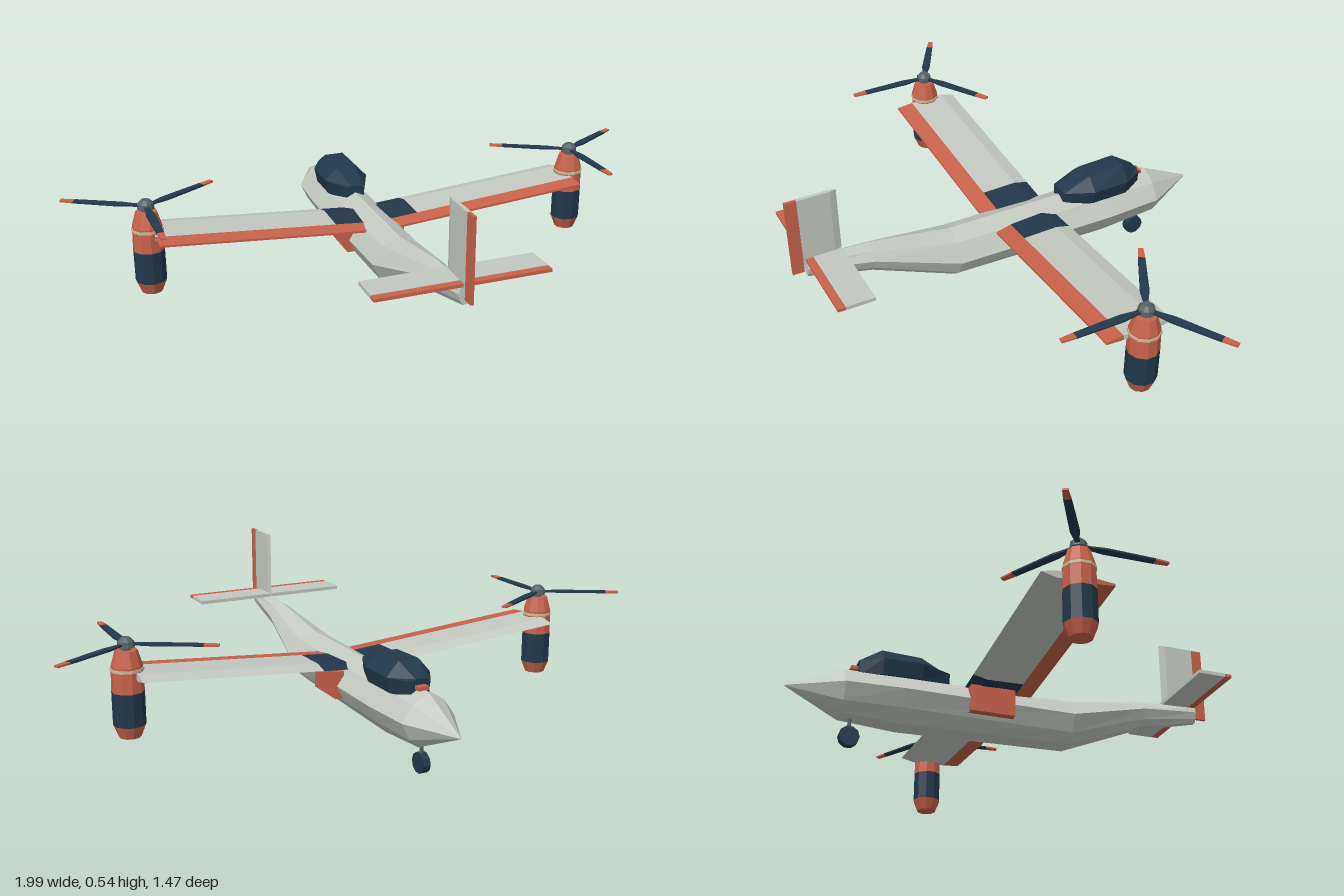
import * as THREE from 'three';

const mat = (name, color) => {
  const m = new THREE.MeshStandardMaterial({ color, flatShading: true });
  m.name = name;
  return m;
};

// Closed faceted skin through cross-sections of equal point count
function loft(rings) {
  const tris = [];
  const n = rings[0].length;
  for (let i = 0; i + 1 < rings.length; i++) {
    for (let j = 0; j < n; j++) {
      const k = (j + 1) % n;
      const a = rings[i][j], b = rings[i][k], c = rings[i + 1][k], d = rings[i + 1][j];
      tris.push([a, b, c], [a, c, d]);
    }
  }
  const first = rings[0], last = rings[rings.length - 1];
  for (let j = 1; j + 1 < n; j++) {
    tris.push([first[0], first[j + 1], first[j]], [last[0], last[j], last[j + 1]]);
  }
  // Turn the faces outward if the enclosed volume is negative
  const v = (p) => new THREE.Vector3(...p);
  let volume = 0;
  for (const [a, b, c] of tris) volume += v(a).dot(v(b).cross(v(c)));
  const pos = tris.flatMap(([a, b, c]) => (volume < 0 ? [a, c, b] : [a, b, c]).flat());
  const g = new THREE.BufferGeometry();
  g.setAttribute('position', new THREE.Float32BufferAttribute(pos, 3));
  g.computeVertexNormals();
  return g;
}

export function createModel() {
  const model = new THREE.Group();
  model.name = 'tiltrotorAircraft';
  const grey = mat('light grey', 0xc3c9c1);
  const red = mat('brick red', 0xc8624a);
  const navy = mat('dark navy', 0x22384a);
  const metal = mat('hub grey', 0x566266);
  const cream = mat('cream', 0xcdbd98);

  const add = (parent, name, geometry, material, x = 0, y = 0, z = 0) => {
    const m = new THREE.Mesh(geometry, material);
    m.name = name;
    m.position.set(x, y, z);
    parent.add(m);
    return m;
  };
  const box = (w, h, d) => new THREE.BoxGeometry(w, h, d);

  // Fuselage: half width, then heights of top, shoulder, waist, chine, belly
  const hull = ([z, w, top, shoulder, waist, chine, belly]) => {
    const half = [[0.6 * w, shoulder], [w, waist], [0.72 * w, chine], [0.36 * w, belly]];
    return [[0, top, z], ...half.map(([x, y]) => [x, y, z]),
      ...half.reverse().map(([x, y]) => [-x, y, z])];
  };
  add(model, 'fuselage', loft([
    [-0.735, 0.002, 0.179, 0.178, 0.177, 0.176, 0.175],
    [-0.56, 0.09, 0.262, 0.232, 0.18, 0.126, 0.098],
    [-0.37, 0.1, 0.265, 0.234, 0.18, 0.126, 0.085],
    [0.2, 0.093, 0.265, 0.24, 0.181, 0.126, 0.097],
    [0.48, 0.048, 0.308, 0.288, 0.262, 0.228, 0.208],
    [0.69, 0.022, 0.318, 0.31, 0.29, 0.268, 0.255],
  ].map(hull)), grey);

  // Canopy
  const hood = ([z, w, top]) => {
    const half = [[0.45 * w, top], [w, 0.285], [0.85 * w, 0.235]];
    return [...half.map(([x, y]) => [x, y, z]),
      ...half.reverse().map(([x, y]) => [-x, y, z])];
  };
  add(model, 'canopy', loft([
    [-0.51, 0.036, 0.291], [-0.44, 0.075, 0.332],
    [-0.31, 0.077, 0.326], [-0.212, 0.034, 0.287],
  ].map(hood)), navy);
  add(model, 'canopyLatch', box(0.036, 0.012, 0.03), red, 0, 0.266, -0.518);

  // Nose gear
  add(model, 'noseStrut', new THREE.CylinderGeometry(0.006, 0.006, 0.09, 6), metal, 0, 0.08, -0.525);
  const wheel = add(model, 'noseWheel', new THREE.CylinderGeometry(0.033, 0.033, 0.026, 10), navy, 0, 0.033, -0.525);
  wheel.rotation.z = Math.PI / 2;

  // Wing sections as [z, height above the chord line]
  const mainSection = [[-0.168, 0], [-0.12, 0.012], [0, 0.009], [0, -0.008], [-0.12, -0.011]];
  const flapSection = [[0, 0.009], [0.057, 0.003], [0.057, -0.004], [0, -0.008]];
  const span = (section, side, x0, x1) => loft([x0, x1].map((x) =>
    section.map(([z, y]) => [side * x, 0.229 + 0.079 * x + y, z])));

  // Rotor blade sections as [radius, half width]
  const blade = (stations) => loft(stations.map(([r, w]) =>
    [[r, 0.003, -w], [r, 0.003, w], [r, -0.003, w], [r, -0.003, -w]]));
  const bladeGeo = blade([[0.01, 0.007], [0.04, 0.008], [0.08, 0.014], [0.235, 0.011]]);
  const tipGeo = blade([[0.235, 0.011], [0.28, 0.008]]);

  // Nacelle bands as [name, bottom y, top y, bottom radius, top radius, material]
  const bands = [
    ['nacelleTail', 0.09, 0.13, 0.034, 0.05, red],
    ['nacelleBand', 0.13, 0.235, 0.05, 0.05, navy],
    ['nacelleBody', 0.235, 0.315, 0.05, 0.048, red],
    ['nacelleRing', 0.3, 0.309, 0.051, 0.051, cream],
    ['nacelleCowl', 0.315, 0.363, 0.048, 0.034, red],
    ['rotorMast', 0.36, 0.375, 0.014, 0.014, metal],
    ['rotorHub', 0.372, 0.39, 0.027, 0.025, metal],
    ['rotorCap', 0.39, 0.402, 0.025, 0.013, metal],
  ];

  for (const side of [1, -1]) {
    const label = side > 0 ? 'left' : 'right';
    const wing = new THREE.Group();
    wing.name = label + 'Wing';
    model.add(wing);
    add(wing, 'wingRoot', span(mainSection, side, 0.03, 0.145), navy);
    add(wing, 'wingPanel', span(mainSection, side, 0.145, 0.735), grey);
    add(wing, 'flap', span(flapSection, side, 0.05, 0.735), red);
    add(model, label + 'SidePanel', box(0.03, 0.09, 0.15), red, side * 0.087, 0.183, -0.085);

    // Nacelle and three-blade rotor
    const nacelle = new THREE.Group();
    nacelle.name = label + 'Nacelle';
    nacelle.position.set(side * 0.75, 0, -0.06);
    model.add(nacelle);
    for (const [name, y0, y1, r0, r1, material] of bands) {
      add(nacelle, name, new THREE.CylinderGeometry(r1, r0, y1 - y0, 10), material, 0, (y0 + y1) / 2, 0);
    }
    for (let i = 0; i < 3; i++) {
      const arm = new THREE.Group();
      arm.name = 'rotorBlade';
      arm.position.y = 0.381;
      arm.rotation.y = -Math.PI / 2 + (i * Math.PI * 2) / 3;
      add(arm, 'blade', bladeGeo, navy);
      add(arm, 'bladeTip', tipGeo, red);
      nacelle.add(arm);
    }
  }

  // Tailplane with elevator
  add(model, 'tailplane', box(0.55, 0.012, 0.095), grey, 0, 0.315, 0.6175);
  add(model, 'elevator', box(0.55, 0.01, 0.025), red, 0, 0.315, 0.6775);

  // Fin with bevelled leading edge, and rudder
  const finSection = [[0, 0.57], [0.006, 0.592], [0.006, 0.697], [-0.006, 0.697], [-0.006, 0.592]];
  add(model, 'fin', loft([0.3, 0.54].map((y) => finSection.map(([x, z]) => [x, y, z]))), grey);
  add(model, 'rudder', box(0.01, 0.267, 0.038), red, 0, 0.4065, 0.716);

  return model;
}
